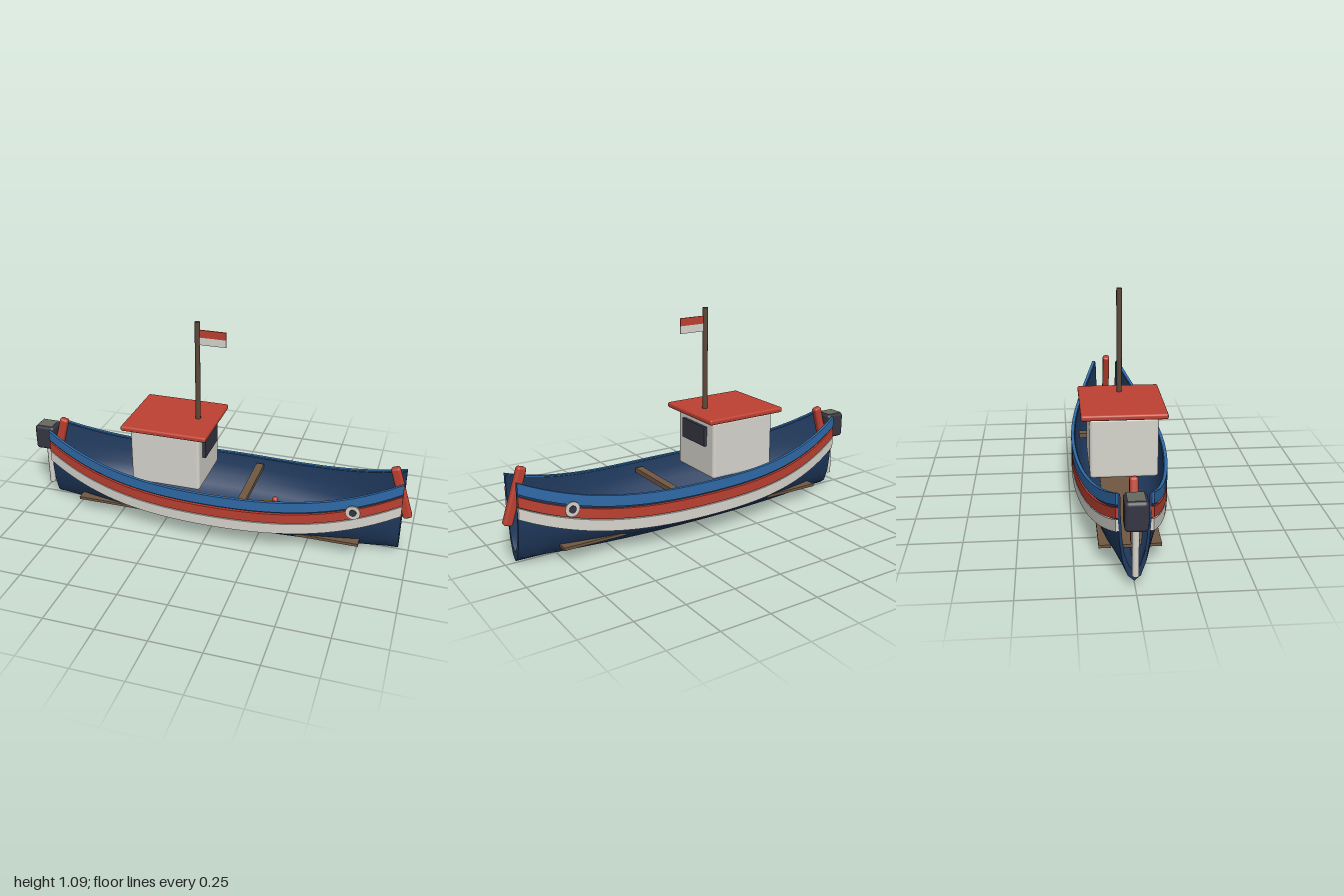
import * as THREE from 'three';
import { toCreasedNormals } from 'three/addons/utils/BufferGeometryUtils.js';
import { RoundedBoxGeometry } from 'three/addons/geometries/RoundedBoxGeometry.js';

const mat = (name, color) => Object.assign(new THREE.MeshStandardMaterial({ color }), { name });

// Joins closed (z, y) rings, counter-clockwise, at growing x; caps both ends
function loft(xs, ringAt, crease = 0.6) {
  const pos = [], idx = [], rings = xs.map(ringAt), n = rings[0].length;
  rings.forEach((ring, i) => ring.forEach(([z, y]) => pos.push(xs[i], y, z)));
  for (let i = 0; i < xs.length - 1; i++) {
    for (let j = 0; j < n; j++) {
      const a = i * n + j, a1 = i * n + (j + 1) % n;
      idx.push(a, a + n, a1, a1, a + n, a1 + n);
    }
  }
  const cap = (i, flip) => {
    const contour = rings[i].map(([z, y]) => new THREE.Vector2(z, y));
    for (const [a, b, c] of THREE.ShapeUtils.triangulateShape(contour, [])) {
      const f = flip ? [a, c, b] : [a, b, c];
      idx.push(...f.map((k) => k + i * n));
    }
  };
  cap(0, false);
  cap(xs.length - 1, true);
  const g = new THREE.BufferGeometry();
  g.setAttribute('position', new THREE.Float32BufferAttribute(pos, 3));
  g.setIndex(idx);
  return toCreasedNormals(g, crease);
}

export function createModel() {
  const boat = new THREE.Group();
  boat.name = 'fishingBoat';
  const navy = mat('navy', 0x203a5e), blue = mat('blue', 0x2f6aa8), red = mat('red', 0xbc4031);
  const white = mat('white', 0xd6d4cc), wood = mat('wood', 0x705843), darkWood = mat('darkWood', 0x5c4838);
  const ochre = mat('ochre', 0xa37e38), slate = mat('slate', 0x363644), grey = mat('grey', 0x67685f);

  const add = (name, geo, material, x = 0, y = 0, z = 0) => {
    const m = new THREE.Mesh(geo, material);
    m.name = name;
    m.position.set(x, y, z);
    boat.add(m);
    return m;
  };
  const box = (w, h, d) => new THREE.BoxGeometry(w, h, d);
  const rbox = (w, h, d, r) => new RoundedBoxGeometry(w, h, d, 3, r);

  // Hull lines: half beam and sheer height along x
  const X0 = -0.9, X1 = 0.95;
  const stations = Array.from({ length: 33 }, (_, i) => X0 + (X1 - X0) * i / 32);
  const u = (x) => Math.abs((x - 0.025) / 0.925);
  const beam = (x) => 0.235 - 0.155 * u(x) ** 2;
  const sheer = (x) => 0.285 + 0.135 * u(x) ** 3;

  // Open-ended hull shell
  const half = [[0, 0], [0.38, 0.06], [0.7, 0.23], [0.87, 0.45], [0.96, 0.72], [1, 1]];
  const curve = (w, y0, y1) => {
    const side = half.map(([z, y]) => [z * w, y0 + y * (y1 - y0)]);
    return [...side.slice(1).reverse().map(([z, y]) => [-z, y]), ...side];
  };
  add('hull', loft(stations, (x) => {
    const top = sheer(x) - 0.006, y0 = 0.004 + 0.008 * u(x) ** 2, w = beam(x) - 0.008;
    return [...curve(w, y0, top), ...curve(w - 0.012, 0.06, top).reverse()];
  }), navy);

  // Painted rubbing strakes on both sides
  const strakes = [['blueStrake', blue, 0, 0.053], ['redStrake', red, 0.065, 0.115], ['whiteStrake', white, 0.12, 0.175]];
  for (const [name, material, t, b] of strakes) {
    for (const s of [-1, 1]) {
      add(name, loft(stations, (x) => {
        const y1 = sheer(x) - t, y0 = sheer(x) - b;
        const [z0, z1] = [s * beam(x), s * (beam(x) - 0.016)].sort((p, q) => p - q);
        return [[z0, y0], [z1, y0], [z1, y1], [z0, y1]];
      }), material);
    }
  }

  // Floor boards and thwart
  const plan = [[-0.72, 0.07], [-0.3, 0.093], [0.25, 0.093], [0.76, 0.05]];
  add('floor', loft(plan.map((p) => p[0]), (x) => {
    const w = plan.find((p) => p[0] === x)[1];
    return [[-w, 0.068], [w, 0.068], [w, 0.084], [-w, 0.084]];
  }), wood);
  add('thwart', box(0.04, 0.025, 0.38), wood, 0.185, 0.247, 0);

  // Bilge keels
  for (const x of [-0.56, 0.605]) {
    for (const s of [-1, 1]) add('bilgeKeel', box(0.32, 0.014, 0.055), wood, x, 0.077, s * 0.112);
  }

  // Stem and stern posts leaning inward
  add('stemPost', rbox(0.045, 0.28, 0.038, 0.012), red, 0.937, 0.33, 0).rotation.z = 0.31;
  add('sternPost', rbox(0.045, 0.28, 0.038, 0.012), red, -0.878, 0.33, 0).rotation.z = -0.27;

  // Wheelhouse
  add('cabin', rbox(0.36, 0.295, 0.32, 0.015), white, -0.22, 0.4025, 0);
  add('cabinWindow', box(0.016, 0.1, 0.2), slate, -0.032, 0.465, 0);
  add('roof', rbox(0.44, 0.027, 0.4, 0.01), red, -0.215, 0.566, 0);

  // Mast and two-band flag
  add('mast', new THREE.CylinderGeometry(0.013, 0.013, 0.515, 12), darkWood, -0.095, 0.8325, 0);
  add('flagUpper', box(0.135, 0.038, 0.006), red, -0.018, 1.031, 0);
  add('flagLower', box(0.135, 0.038, 0.006), white, -0.018, 0.993, 0);

  // Outboard motor
  add('motor', rbox(0.11, 0.135, 0.1, 0.018), slate, -0.945, 0.355, 0);
  add('motorCover', box(0.085, 0.004, 0.076), grey, -0.945, 0.422, 0);
  add('motorShaft', new THREE.CylinderGeometry(0.015, 0.015, 0.24, 10), white, -0.948, 0.185, 0);

  // Net heap: x, left edge, right edge, height
  const heap = [[0.205, -0.07, 0.07, 0.03], [0.23, -0.09, 0.1, 0.05], [0.3, -0.1, 0.11, 0.06], [0.38, -0.095, 0.105, 0.055],
    [0.46, -0.12, 0.075, 0.06], [0.52, -0.075, 0.045, 0.04], [0.59, -0.004, 0.004, 0.008]];
  add('net', loft(heap.map((h) => h[0]), (x) => {
    const [, a, b, h] = heap.find((p) => p[0] === x);
    return Array.from({ length: 9 }, (_, i) => {
      const t = Math.PI * i / 8;
      return [(a + b) / 2 + Math.cos(t) * (b - a) / 2, 0.083 + Math.sin(t) * h];
    });
  }, 0.3), ochre);
  const ball = new THREE.SphereGeometry(0.017, 12, 8);
  for (const x of [0.3, 0.465]) add('redFloat', ball, red, x, 0.135, -0.06);
  for (const x of [0.22, 0.385, 0.545]) add('whiteFloat', ball, white, x, 0.125, 0.063);

  // Round eyes at the bow
  for (const s of [-1, 1]) {
    const disc = (name, r, d, z, m) => {
      add(name, new THREE.CylinderGeometry(r, r, d, 16), m, 0.73, 0.278, s * z).rotation.x = Math.PI / 2;
    };
    disc('eyeWhite', 0.036, 0.008, 0.166, white);
    disc('eyePupil', 0.018, 0.005, 0.171, slate);
  }
  return boat;
}
